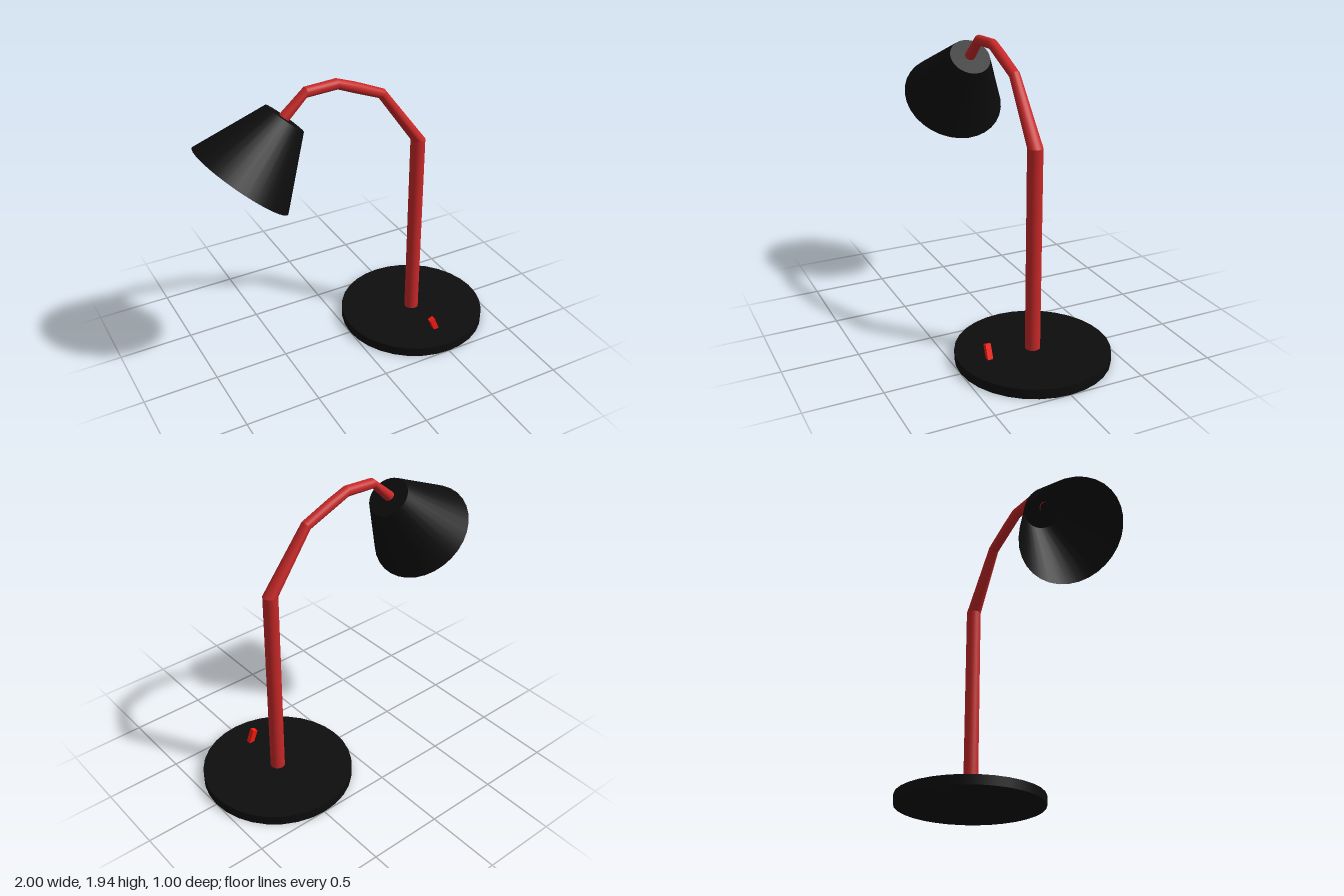
import * as THREE from 'three';
import { mergeGeometries, toCreasedNormals } from 'three/addons/utils/BufferGeometryUtils.js';

const black = new THREE.MeshStandardMaterial({ color: 0x0d0d0d });
const shadeBlack = new THREE.MeshStandardMaterial({ color: 0x0d0d0d, side: THREE.DoubleSide });
const red = new THREE.MeshStandardMaterial({ color: 0xc82828 });
const brightRed = new THREE.MeshStandardMaterial({ color: 0xf51a10 });

function part(name, geometry, material, x = 0, y = 0, z = 0) {
  const mesh = new THREE.Mesh(geometry, material);
  mesh.name = name;
  mesh.position.set(x, y, z);
  return mesh;
}

// Straight tube section between two mitred rings: [outer x, y, inner x, y, half depth]
function tubeSection(a, b) {
  const geometry = new THREE.CylinderGeometry(1, 1, 1, 24, 1, true);
  const pos = geometry.attributes.position;
  for (let i = 0; i < pos.count; i++) {
    const [ox, oy, ix, iy, r] = pos.getY(i) > 0 ? b : a;
    const t = (pos.getX(i) + 1) / 2;
    pos.setXYZ(i, ix + (ox - ix) * t, iy + (oy - iy) * t, pos.getZ(i) * r);
  }
  return geometry;
}

export function createModel() {
  const lamp = new THREE.Group();
  lamp.name = 'deskLamp';

  // Round base
  lamp.add(part('base', new THREE.CylinderGeometry(0.5, 0.5, 0.065, 32), black, 0.5, 0.0325, 0));

  // Upright post and the bent, tapering neck
  const rings = [
    [0.548, 0.06, 0.452, 0.06, 0.049],
    [0.548, 1.4, 0.452, 1.4, 0.049],
    [0.24, 1.807, 0.2, 1.755, 0.035],
    [0.04, 1.895, 0.01, 1.832, 0.035],
    [-0.09, 1.943, -0.09, 1.875, 0.035],
    [-0.3, 1.932, -0.3, 1.866, 0.035],
    [-0.475, 1.785, -0.425, 1.735, 0.035],
  ];
  const sections = rings.slice(1).map((ring, i) => tubeSection(rings[i], ring));
  lamp.add(part('post', toCreasedNormals(sections[0], 0.3), red));
  lamp.add(part('neck', toCreasedNormals(mergeGeometries(sections.slice(1)), 0.3), red));

  // Conical shade, open towards the desk
  const shade = new THREE.Group();
  shade.name = 'shade';
  const height = 0.457;
  shade.add(part('shadeCone', new THREE.CylinderGeometry(0.138, 0.347, height, 32, 1, true), shadeBlack));
  const cap = new THREE.CircleGeometry(0.138, 32).rotateX(-Math.PI / 2);
  shade.add(part('shadeCap', cap, shadeBlack, 0, height / 2, 0));
  shade.position.set(-0.589, 1.591, 0);
  shade.rotation.z = -Math.atan2(0.303, 0.342);
  lamp.add(shade);

  // Tilted switch on the base
  const lever = part('switch', new THREE.BoxGeometry(0.036, 0.12, 0.036), brightRed, 0.495, 0.095, 0.307);
  lever.rotation.z = 0.38;
  lamp.add(lever);

  return lamp;
}
